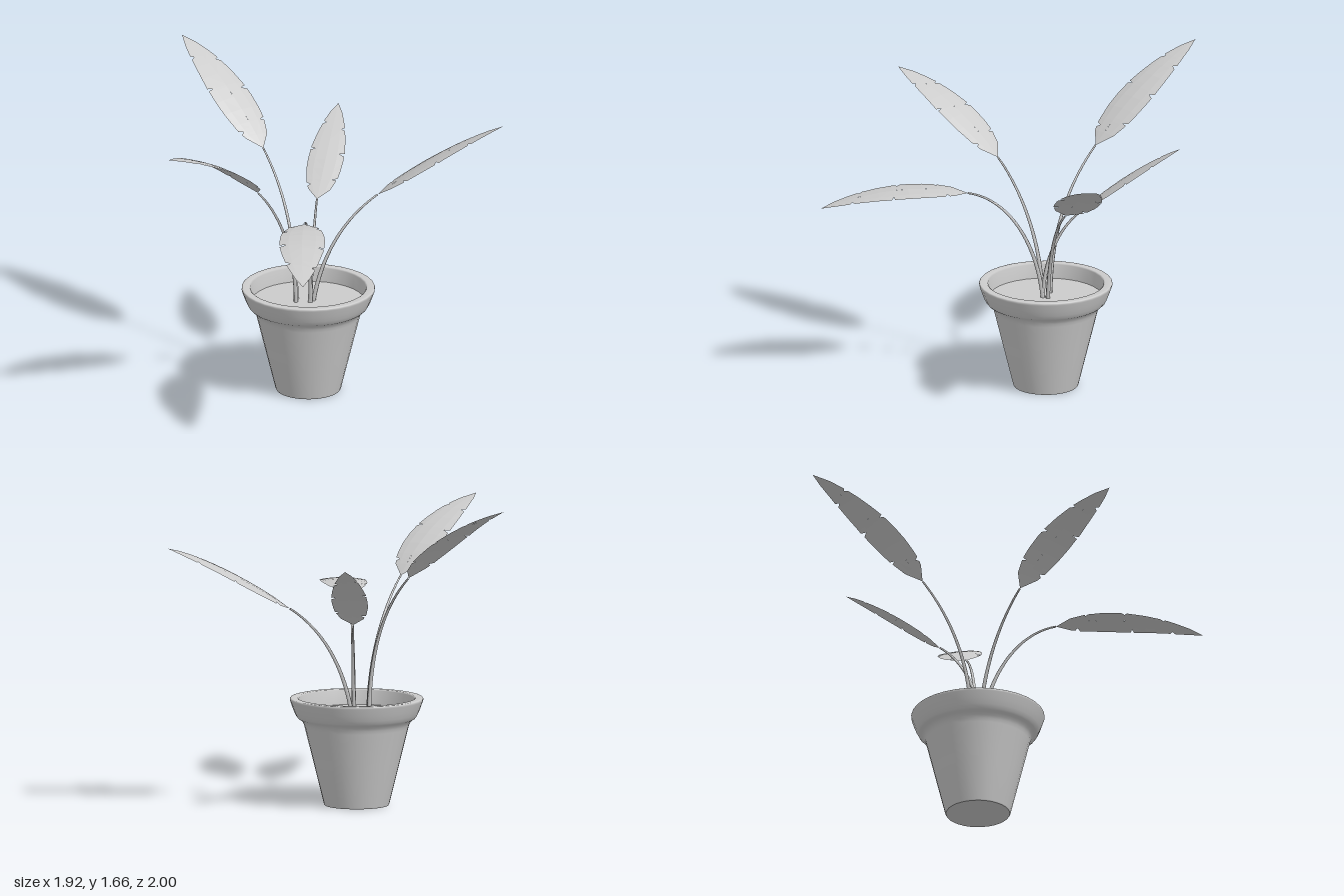
import * as THREE from 'three';

const grey = (opts = {}) => new THREE.MeshStandardMaterial({ color: 0xcccccc, roughness: 0.9, ...opts });
const vec = (x, y, z) => new THREE.Vector3(x, y, z);

// Where each side edge of a blade is torn, as a fraction of its length
const TEARS = { 1: [0.14, 0.5, 0.78], [-1]: [0.2, 0.46, 0.72] };
const STATIONS = 10;

// Relative half width: rounded near the stem, pointed at the tip
const halfWidth = (t) => Math.pow(Math.max(0, Math.sin(Math.PI * Math.pow(t, 0.75))), 0.75);

function addMesh(parent, name, geometry, material) {
  const mesh = new THREE.Mesh(geometry, material);
  mesh.name = name;
  parent.add(mesh);
  return mesh;
}

// Tapered stem made by narrowing the rings of a tube
function stemGeometry(curve) {
  const rows = 24, sides = 6;
  const geometry = new THREE.TubeGeometry(curve, rows, 1, sides);
  const pos = geometry.attributes.position, p = new THREE.Vector3();
  for (let i = 0; i < pos.count; i++) {
    const t = Math.floor(i / (sides + 1)) / rows;
    const c = curve.getPointAt(t);
    p.fromBufferAttribute(pos, i).sub(c).multiplyScalar(0.012 - 0.007 * t).add(c);
    pos.setXYZ(i, p.x, p.y, p.z);
  }
  return geometry;
}

// Blade: two halves of cross strips along the midrib, with small tears in the edges
function bladeGeometry(rib, width, roll) {
  const chord = rib.v2.clone().sub(rib.v0);
  const side = vec(chord.z, 0, -chord.x).normalize();
  side.y = roll;
  side.normalize();
  const position = [], index = [];
  for (const s of [1, -1]) {
    const stations = Array.from({ length: STATIONS + 1 }, (_, i) => [i / STATIONS, 1]);
    for (const t of TEARS[s]) stations.push([t - 0.012, 1], [t + 0.004, 0.72], [t + 0.02, 1.02]);
    stations.sort((a, b) => a[0] - b[0]);
    const start = position.length / 3;
    stations.forEach(([t, cut], row) => {
      const c = rib.getPointAt(t);
      const w = halfWidth(t) * width;
      for (const d of [0, 0.6 * w, w * cut]) {
        const p = c.clone().addScaledVector(side, s * d);
        p.y -= 0.9 * d * d; // edges droop slightly
        position.push(p.x, p.y, p.z);
      }
      if (row === 0) return;
      for (let k = 0; k < 2; k++) {
        const a = start + (row - 1) * 3 + k, b = a + 1, e = a + 3, f = a + 4;
        if (s > 0) index.push(a, b, f, a, f, e);
        else index.push(a, f, b, a, e, f);
      }
    });
  }
  const geometry = new THREE.BufferGeometry();
  geometry.setAttribute('position', new THREE.Float32BufferAttribute(position, 3));
  geometry.setIndex(index);
  geometry.computeVertexNormals();
  return geometry;
}

// Stalk: a curved stem from the soil to a joint, then a blade from the joint to its tip
function makeStalk(name, width, roll, base, bend1, bend2, joint, ribBend, tip) {
  const stalk = new THREE.Group();
  stalk.name = name;
  const stem = new THREE.CubicBezierCurve3(base, bend1, bend2, joint);
  const rib = new THREE.QuadraticBezierCurve3(joint, ribBend, tip);
  addMesh(stalk, 'stem', stemGeometry(stem), grey());
  addMesh(stalk, 'blade', bladeGeometry(rib, width, roll), grey({ side: THREE.DoubleSide, flatShading: true }));
  return stalk;
}

// Pot: tapered body with a flared rim, filled with soil
function makePot() {
  const pot = new THREE.Group();
  pot.name = 'pot';
  pot.position.set(0.05, 0, 0.08);
  const profile = new THREE.Path();
  profile.moveTo(0.168, 0);
  profile.lineTo(0.172, 0.006);
  profile.lineTo(0.225, 0.22);
  profile.lineTo(0.272, 0.41);
  profile.quadraticCurveTo(0.28, 0.45, 0.308, 0.462);
  profile.quadraticCurveTo(0.322, 0.47, 0.35, 0.555);
  profile.quadraticCurveTo(0.354, 0.57, 0.344, 0.57);
  profile.lineTo(0.312, 0.57);
  profile.lineTo(0.304, 0.564);
  profile.lineTo(0.296, 0.48);
  addMesh(pot, 'potShell', new THREE.LatheGeometry(profile.getPoints(4), 32), grey({ side: THREE.DoubleSide }));
  addMesh(pot, 'potBase', new THREE.CircleGeometry(0.168, 32).rotateX(Math.PI / 2), grey());
  addMesh(pot, 'soil', new THREE.CircleGeometry(0.298, 32).rotateX(-Math.PI / 2), grey()).position.y = 0.49;
  return pot;
}

export function createModel() {
  const model = new THREE.Group();
  model.name = 'pottedPlant';
  model.add(makePot());

  model.add(makeStalk('backLeaf', 0.115, 0,
    vec(0.02, 0.48, 0.02), vec(0.02, 0.8, 0.01), vec(0.03, 1.05, -0.08),
    vec(0.04, 1.24, -0.29), vec(0.05, 1.54, -0.6), vec(0.055, 1.665, -1)));
  model.add(makeStalk('backLeftLeaf', 0.095, 0,
    vec(0.045, 0.48, 0.1), vec(0.06, 0.72, 0.1), vec(0.12, 0.9, 0.04),
    vec(0.21, 0.985, -0.05), vec(0.38, 1.18, -0.18), vec(0.605, 1.34, -0.37)));
  model.add(makeStalk('frontLeftLeaf', 0.115, -0.2,
    vec(0.075, 0.48, 0.09), vec(0.11, 0.72, 0.11), vec(0.2, 0.93, 0.165),
    vec(0.38, 1.06, 0.25), vec(0.65, 1.28, 0.4), vec(0.96, 1.405, 0.58)));
  model.add(makeStalk('frontRightLeaf', 0.12, 0,
    vec(0.05, 0.48, 0.1), vec(0.03, 0.78, 0.12), vec(-0.07, 1.04, 0.23),
    vec(-0.22, 1.07, 0.39), vec(-0.45, 1.15, 0.65), vec(-0.705, 1.005, 0.995)));
  model.add(makeStalk('rightLeaf', 0.115, 0,
    vec(-0.01, 0.48, 0.05), vec(-0.01, 0.75, 0.055), vec(-0.13, 1.02, 0.07),
    vec(-0.3, 1.18, 0.095), vec(-0.55, 1.45, 0.14), vec(-0.965, 1.54, 0.185)));
  return model;
}
